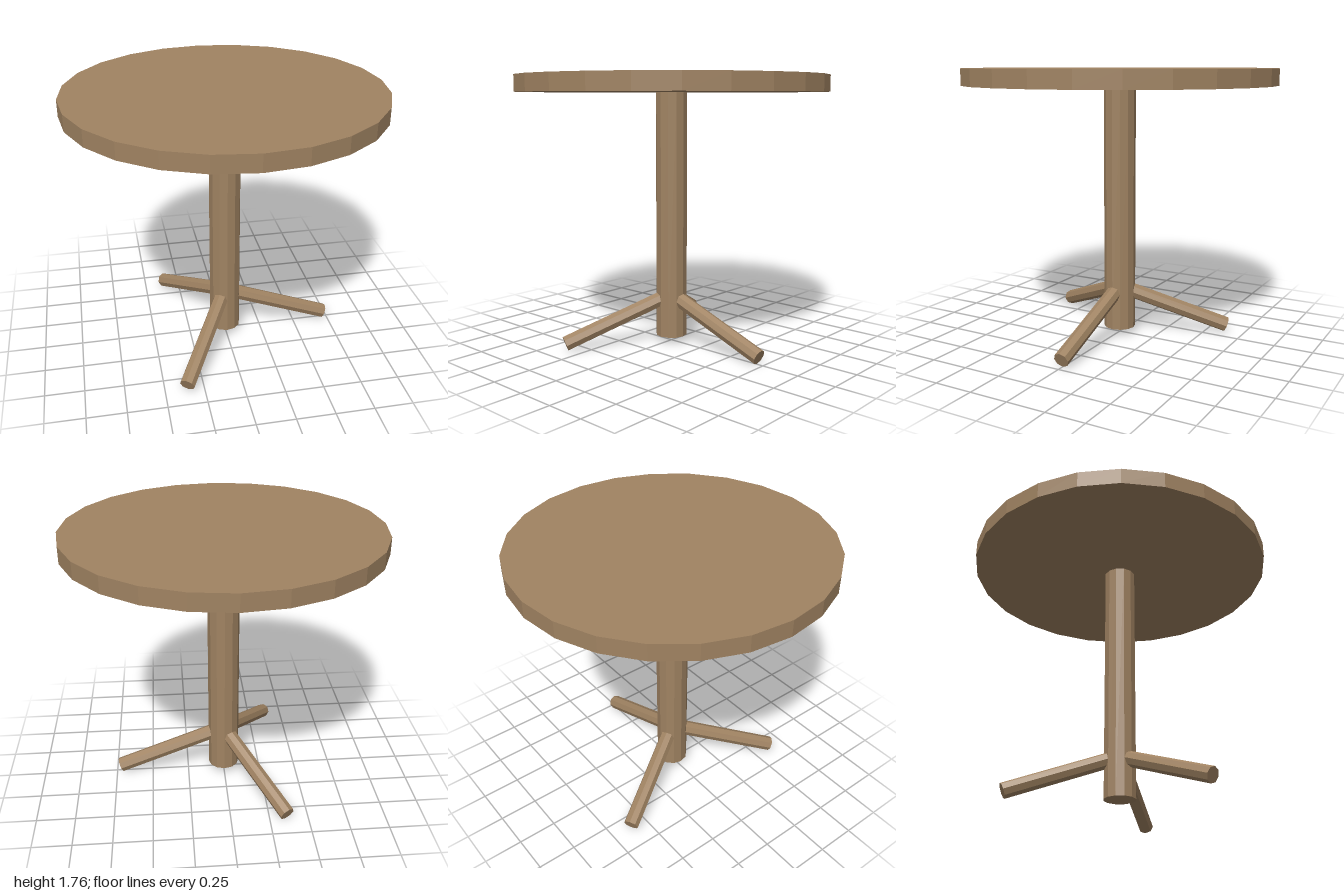
import * as THREE from 'three';

export function createModel() {
  const model = new THREE.Group();
  const wood = new THREE.MeshStandardMaterial({ color: 0xa08362, flatShading: true });
  wood.name = 'brown wood';

  function addCylinder(name, radius, height, sides, parent) {
    const mesh = new THREE.Mesh(new THREE.CylinderGeometry(radius, radius, height, sides), wood);
    mesh.name = name;
    parent.add(mesh);
    return mesh;
  }

  // Round faceted top
  addCylinder('tableTop', 1, 0.105, 24, model).position.y = 1.715;

  // Central column, stopping just above the floor
  addCylinder('column', 0.103, 1.61, 12, model).position.y = 0.857;

  // Three sloping legs, evenly spread around the column
  const inner = new THREE.Vector2(0.06, 0.305);
  const foot = new THREE.Vector2(0.72, 0.053);
  const slope = Math.atan2(foot.y - inner.y, foot.x - inner.x);
  for (let i = 0; i < 3; i++) {
    const pivot = new THREE.Group();
    pivot.name = 'legPivot' + (i + 1);
    pivot.rotation.y = (i * 2 * Math.PI) / 3;
    const leg = addCylinder('leg' + (i + 1), 0.05, inner.distanceTo(foot), 8, pivot);
    leg.position.set((inner.x + foot.x) / 2, (inner.y + foot.y) / 2, 0);
    leg.rotation.z = slope - Math.PI / 2;
    model.add(pivot);
  }

  return model;
}
